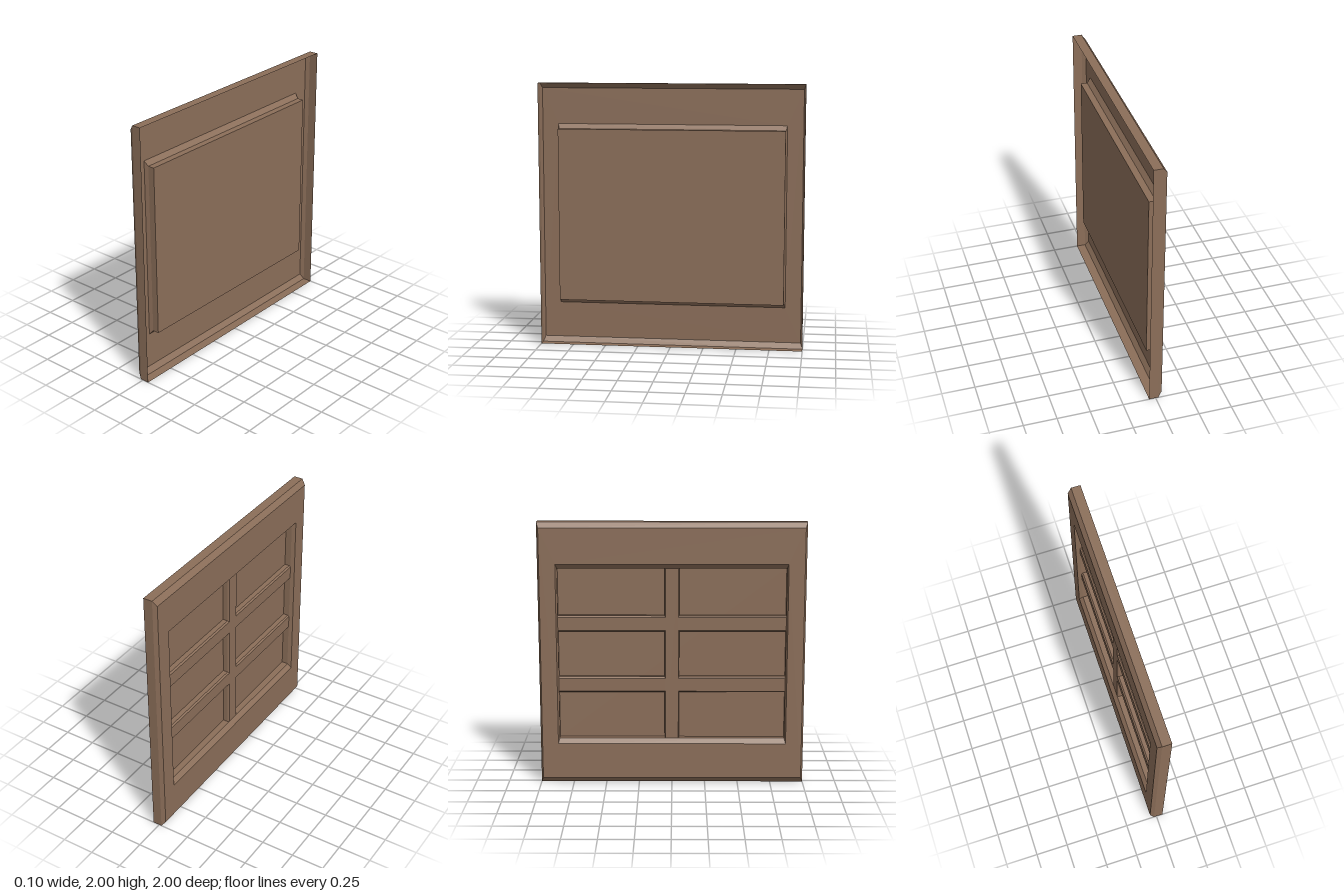
import * as THREE from 'three';

// Lofts rectangular rings [x, z half-width, y bottom, y top] towards -x and caps the last one.
function loftRings(rings) {
  const corners = rings.map(([x, hz, y0, y1]) => [
    [x, y0, -hz], [x, y0, hz], [x, y1, hz], [x, y1, -hz],
  ]);
  const pos = [];
  const quad = (a, b, c, d) => pos.push(...a, ...b, ...c, ...a, ...c, ...d);
  for (let i = 0; i < corners.length - 1; i++) {
    for (let j = 0; j < 4; j++) {
      const k = (j + 1) % 4;
      quad(corners[i][j], corners[i][k], corners[i + 1][k], corners[i + 1][j]);
    }
  }
  quad(...corners[corners.length - 1]);
  const geometry = new THREE.BufferGeometry();
  geometry.setAttribute('position', new THREE.Float32BufferAttribute(pos, 3));
  geometry.computeVertexNormals();
  return geometry;
}

export function createModel() {
  const group = new THREE.Group();
  group.name = 'panelledWindow';
  const wood = new THREE.MeshStandardMaterial({ color: 0x8b6e59, side: THREE.DoubleSide });
  wood.name = 'brown wood';

  const add = (name, rings) => {
    const mesh = new THREE.Mesh(loftRings(rings), wood);
    mesh.name = name;
    group.add(mesh);
  };

  const pane = 0.03, front = -0.02, bevel = -0.008; // x depths
  const hz = 0.855, y0 = 0.345, y1 = 1.655;         // recess floor

  // Open-backed frame: outer wall, chamfer, face, inner chamfer, recess and its floor
  add('frame', [
    [0.05, 1, 0, 2],
    [-0.02, 1, 0, 2],
    [-0.05, 0.985, 0.04, 1.96],
    [-0.05, 0.865, 0.31, 1.69],
    [-0.02, hz, y0, y1],
    [pane, hz, y0, y1],
  ]);

  // Upright bar
  add('uprightBar', [
    [pane, 0.055, y0, y1],
    [bevel, 0.055, y0, y1],
    [front, 0.048, y0, y1],
  ]);

  // Two cross bars dividing the recess into three rows
  for (const y of [0.765, 1.235]) {
    add('crossBar', [
      [pane, hz, y - 0.06, y + 0.06],
      [bevel, hz, y - 0.06, y + 0.06],
      [front, hz, y - 0.05, y + 0.05],
    ]);
  }
  return group;
}
